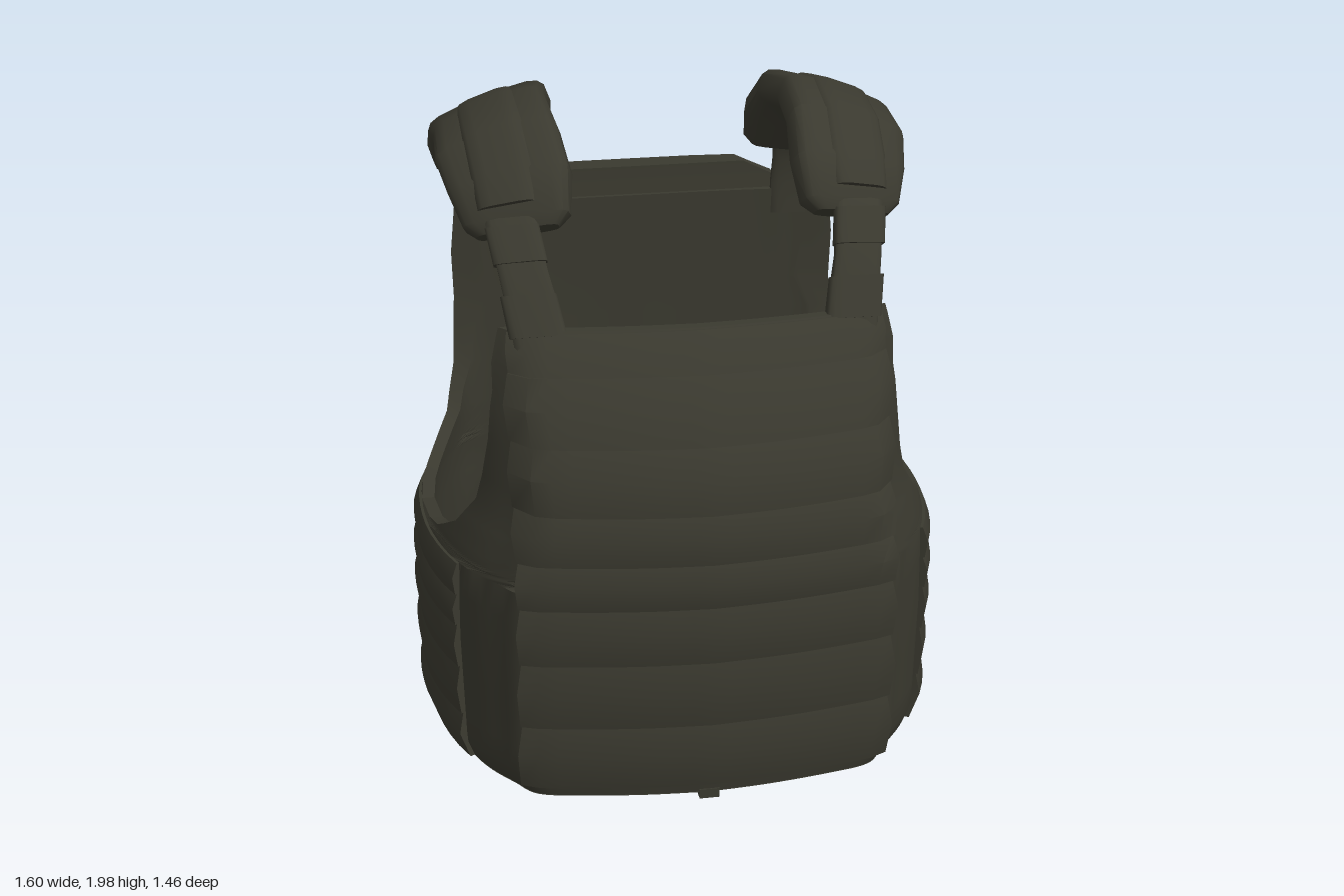
import * as THREE from 'three';
import { toCreasedNormals } from 'three/addons/utils/BufferGeometryUtils.js';

// Piecewise linear lookup in a table of [key, value] with rising keys
function lerpTable(table, v) {
  if (v <= table[0][0]) return table[0][1];
  for (let i = 1; i < table.length; i++) {
    const [k0, a] = table[i - 1], [k1, b] = table[i];
    if (v <= k1) return a + (b - a) * (v - k0) / (k1 - k0);
  }
  return table[table.length - 1][1];
}

// Half outline of the torso seen from above, from front centre round to back centre: [x, z]
const OUTLINE = new THREE.SplineCurve([[0, 0.69], [0.2, 0.675], [0.4, 0.645], [0.54, 0.61], [0.605, 0.53], [0.68, 0.42],
  [0.735, 0.28], [0.77, 0.1], [0.775, -0.1], [0.755, -0.28], [0.69, -0.48], [0.61, -0.595], [0.45, -0.62], [0.2, -0.63], [0, -0.63],
].map((p) => new THREE.Vector2(...p))).getPoints(84);
// How width and depth change with height, in front and behind
const FRONT_WIDTH = [[0.02, 0.93], [0.05, 0.965], [0.1, 0.99], [0.5, 1], [0.7, 0.99], [0.8, 0.95], [0.9, 0.905], [1, 0.885], [1.25, 0.9], [1.43, 0.945]];
const BACK_WIDTH = [[0.02, 0.93], [0.05, 0.965], [0.1, 0.99], [0.5, 1], [0.7, 0.99], [0.85, 0.955], [1, 0.965], [1.25, 0.985], [1.4, 0.98], [1.5, 0.955]];
const FRONT = [[0.02, 0.65], [0.1, 0.665], [0.5, 0.685], [0.8, 0.695], [1, 0.685], [1.14, 0.64], [1.25, 0.585], [1.33, 0.545], [1.43, 0.47]];
const BACK = [[0.02, 0.61], [0.05, 0.63], [0.25, 0.645], [0.33, 0.625], [0.45, 0.58], [0.8, 0.57], [1.2, 0.57], [1.5, 0.565]];
// Rounding of the lower back corners
const TUCK = [[0.02, 0.17], [0.06, 0.12], [0.12, 0.07], [0.25, 0.02], [0.4, 0]];
// Edges of the arm holes: z at each height
const FRONT_EDGE = [[0.7, -0.1], [0.72, 0.08], [0.735, 0.17], [0.76, 0.22], [0.8, 0.29], [0.9, 0.36], [1.1, 0.4], [1.25, 0.395], [1.43, 0.37]];
const BACK_EDGE = [[0.7, -0.1], [0.72, -0.2], [0.735, -0.28], [0.77, -0.37], [0.84, -0.45], [0.98, -0.51], [1.2, -0.53], [1.5, -0.52]];

const outlineAt = (y) => OUTLINE.map(({ x, y: z }) => {
  if (z > 0) return [x * lerpTable(FRONT_WIDTH, y), z * lerpTable(FRONT, y) / 0.69];
  const tuck = 1 - lerpTable(TUCK, y) * (x * -z / 0.36) ** 3;
  return [x * lerpTable(BACK_WIDTH, y) * tuck, z * lerpTable(BACK, y) / 0.63 * tuck];
});
const sideX = (z, y) => lerpTable(outlineAt(y).map(([x, zz]) => [zz, x]).reverse(), z);
const frontZ = (x, y) => lerpTable(outlineAt(y).filter(([, z]) => z > 0.1), Math.abs(x));

// Joins closed rings of points into a solid with capped ends
function loft(rings, crease = 0.7) {
  const m = rings[0].length, index = [];
  const quad = (a, b, c, d) => index.push(a, b, c, a, c, d);
  for (let r = 0; r < rings.length - 1; r++)
    for (let i = 0; i < m; i++) {
      const j = (i + 1) % m;
      quad(r * m + i, r * m + j, (r + 1) * m + j, (r + 1) * m + i);
    }
  const last = (rings.length - 1) * m;
  for (let i = 0; i < m / 2 - 1; i++) {
    quad(m - 1 - i, m - 2 - i, i + 1, i);
    quad(last + i, last + i + 1, last + m - 2 - i, last + m - 1 - i);
  }
  const p = rings.flat();
  // Turn the faces outward
  let volume = 0;
  for (let i = 0; i < index.length; i += 3)
    volume += p[index[i]].dot(p[index[i + 1]].clone().cross(p[index[i + 2]]));
  if (volume < 0) index.reverse();
  const g = new THREE.BufferGeometry().setFromPoints(p);
  g.setIndex(index);
  return toCreasedNormals(g, crease);
}

// Front or back half of the shell, cut away at the arm holes
function shellHalf(front, heights) {
  const dir = front ? 1 : -1, n = 40;
  return loft(heights.map((y) => {
    const edge = lerpTable(front ? FRONT_EDGE : BACK_EDGE, y);
    const curve = (sx, sz) => {
      let pts = outlineAt(y).map(([x, z]) => [x * sx, z * sz]);
      const endX = lerpTable(pts.map(([x, z]) => [z, x]).reverse(), edge);
      if (!front) pts.reverse();
      pts = pts.filter(([, z]) => (z - edge) * dir > 0.002);
      pts.push([endX, edge]);
      const half = new THREE.Path(pts.map((q) => new THREE.Vector2(...q))).getSpacedPoints(n);
      const right = half.slice(1).reverse().map((q) => new THREE.Vector3(-q.x, y, q.y));
      return right.concat(half.map((q) => new THREE.Vector3(q.x, y, q.y)));
    };
    return curve(1, 1).concat(curve(0.95, front ? 0.93 : 0.955).reverse());
  }));
}

// Webbing band between two heights; place(t, y) gives its surface point
function band(place, y0, y1, depth, n) {
  const rings = [], mid = y0 + (y1 - y0) * 0.55;
  const profile = [[y0, depth * 0.6], [mid, depth], [y1, depth * 0.35], [y1, -0.02], [mid, -0.02], [y0, -0.02]];
  for (let i = 0; i <= n; i++)
    rings.push(profile.map(([y, out]) => {
      const p = place(i / n, y);
      const away = new THREE.Vector3(p.x, 0, p.z).normalize();
      return p.addScaledVector(away, out);
    }));
  return loft(rings);
}

// Soft flat strip along stations [x, y, z, width, thickness, tilt]
function strip(stations, side) {
  const n = 16, soft = (v) => Math.sign(v) * Math.abs(v) ** 0.5;
  return loft(stations.map(([x, y, z, w, t, tilt], i) => {
    const a = stations[Math.max(i - 1, 0)], b = stations[Math.min(i + 1, stations.length - 1)];
    const tan = new THREE.Vector2(b[1] - a[1], b[2] - a[2]).normalize();
    const up = new THREE.Vector3(0, -tan.y, tan.x), across = new THREE.Vector3(1, 0, 0);
    const c = Math.cos(tilt * side), s = Math.sin(tilt * side);
    const u = up.clone().multiplyScalar(c).addScaledVector(across, s);
    const v = across.clone().multiplyScalar(c).addScaledVector(up, -s);
    return Array.from({ length: n }, (_, k) => {
      const ang = (k + 0.5) * 2 * Math.PI / n;
      return new THREE.Vector3(x * side, y, z)
        .addScaledVector(v, soft(Math.cos(ang)) * w / 2).addScaledVector(u, soft(Math.sin(ang)) * t / 2);
    });
  }));
}

export function createModel() {
  const model = new THREE.Group();
  const fabric = new THREE.MeshStandardMaterial({ color: 0x3a392f, side: THREE.DoubleSide });
  fabric.name = 'dark olive fabric';
  const add = (name, geometry) => {
    const mesh = new THREE.Mesh(geometry, fabric);
    mesh.name = name;
    model.add(mesh);
  };

  // Torso shell and closed floor
  const low = [0.02, 0.05, 0.1, 0.18, 0.25, 0.33, 0.45, 0.6, 0.7, 0.72, 0.735, 0.76, 0.8, 0.84, 0.9, 0.98, 1.1, 1.2];
  add('frontShell', shellHalf(true, [...low, 1.25, 1.33, 1.4, 1.43]));
  add('backShell', shellHalf(false, [...low, 1.35, 1.5]));
  const rim = outlineAt(0.02).map(([x, z]) => new THREE.Vector2(x, z));
  const loop = rim.concat(rim.slice(1, -1).reverse().map((q) => new THREE.Vector2(-q.x, q.y)));
  add('floor', new THREE.ShapeGeometry(new THREE.Shape(loop)).rotateX(Math.PI / 2).translate(0, 0.018, 0));
  add('bottomTab', new THREE.BoxGeometry(0.06, 0.03, 0.05).translate(0, 0.015, 0.63));

  // Rows of webbing across the chest
  const chest = (t, y) => {
    const x = (t * 2 - 1) * 0.54;
    return new THREE.Vector3(x, y, frontZ(x, y));
  };
  const chestRows = [0.06, 0.27, 0.48, 0.66, 0.8, 0.95, 1.14, 1.32, 1.425];
  for (let i = 0; i < chestRows.length - 1; i++)
    add('chestWebbing', band(chest, chestRows[i], chestRows[i + 1], i < 7 ? 0.036 : 0.015, 20));

  // Rows of webbing round both flanks
  const flankRows = [0.05, 0.2, 0.36, 0.5, 0.6, 0.7];
  for (const side of [1, -1]) {
    const flank = (t, y) => {
      const z = 0.37 - t * 0.83;
      return new THREE.Vector3(side * sideX(z, y), y, z);
    };
    for (let i = 0; i < flankRows.length - 1; i++)
      add('flankWebbing', band(flank, flankRows[i], flankRows[i + 1], 0.025, 12));
  }

  // Back panel, flaring out at its lower end and more so on the right
  const panel = [[0.33, 0.45, 0.72], [0.36, 0.46, 0.725], [0.6, 0.46, 0.685], [0.85, 0.46, 0.655], [1.2, 0.46, 0.67],
    [1.42, 0.46, 0.675], [1.54, 0.43, 0.665], [1.59, 0.33, 0.645]];
  add('backPanel', loft(panel.map(([y, w, z]) => {
    const flare = Math.max(0, 0.85 - y) * 0.1;
    const outer = [[-1, 0.05], [-0.95, 0.01], [-0.6, 0], [0, 0], [0.5, 0], [0.95, 0.01], [1, 0.05]].map(([s, d]) =>
      new THREE.Vector3(s * w, y - (y < 0.4 ? 0.01 : 0), -(z - d - flare * (s > 0 ? s : s * 0.25))));
    const inner = outer.map((q) => new THREE.Vector3(q.x, y + (y < 0.4 ? 0.03 : 0), y > 1.5 ? -0.56 : -0.545)).reverse();
    return outer.concat(inner);
  })));

  // Shoulder straps, buckles and pads, mirrored
  for (const side of [1, -1]) {
    add('frontStrap', strip([[0.45, 1.38, 0.43, 0.15, 0.045, 0], [0.46, 1.46, 0.4, 0.15, 0.045, 0.05],
      [0.485, 1.58, 0.34, 0.14, 0.04, 0.1], [0.505, 1.7, 0.25, 0.15, 0.04, 0.25], [0.51, 1.78, 0.14, 0.14, 0.04, 0.3]], side));
    add('lowerBuckle', strip([[0.455, 1.41, 0.42, 0.165, 0.055, 0.05], [0.475, 1.52, 0.37, 0.16, 0.05, 0.05]], side));
    add('upperBuckle', strip([[0.49, 1.6, 0.328, 0.155, 0.05, 0.15], [0.505, 1.69, 0.268, 0.155, 0.05, 0.15]], side));
    add('shoulderPad', strip([[0.485, 1.665, 0.245, 0.24, 0.06, 0.3], [0.485, 1.69, 0.225, 0.31, 0.1, 0.3],
      [0.495, 1.78, 0.15, 0.36, 0.12, 0.33], [0.515, 1.855, 0.03, 0.37, 0.12, 0.35], [0.515, 1.885, -0.13, 0.35, 0.125, 0.36],
      [0.505, 1.86, -0.28, 0.38, 0.12, 0.33], [0.495, 1.77, -0.4, 0.39, 0.11, 0.28], [0.49, 1.695, -0.45, 0.36, 0.09, 0.22],
      [0.49, 1.66, -0.465, 0.3, 0.05, 0.2]], side));
    add('padSleeve', strip([[0.505, 1.72, 0.21, 0.18, 0.11, 0.32], [0.505, 1.79, 0.145, 0.2, 0.13, 0.33],
      [0.515, 1.865, 0.03, 0.2, 0.13, 0.35], [0.515, 1.893, -0.13, 0.2, 0.135, 0.36], [0.505, 1.865, -0.28, 0.2, 0.13, 0.33]], side));
    add('backStrap', strip([[0.495, 1.76, -0.45, 0.16, 0.045, 0.25], [0.495, 1.69, -0.505, 0.16, 0.04, 0.15],
      [0.5, 1.6, -0.53, 0.16, 0.035, 0], [0.505, 1.52, -0.54, 0.18, 0.035, 0], [0.505, 1.42, -0.54, 0.18, 0.035, 0]], side));
  }
  return model;
}
